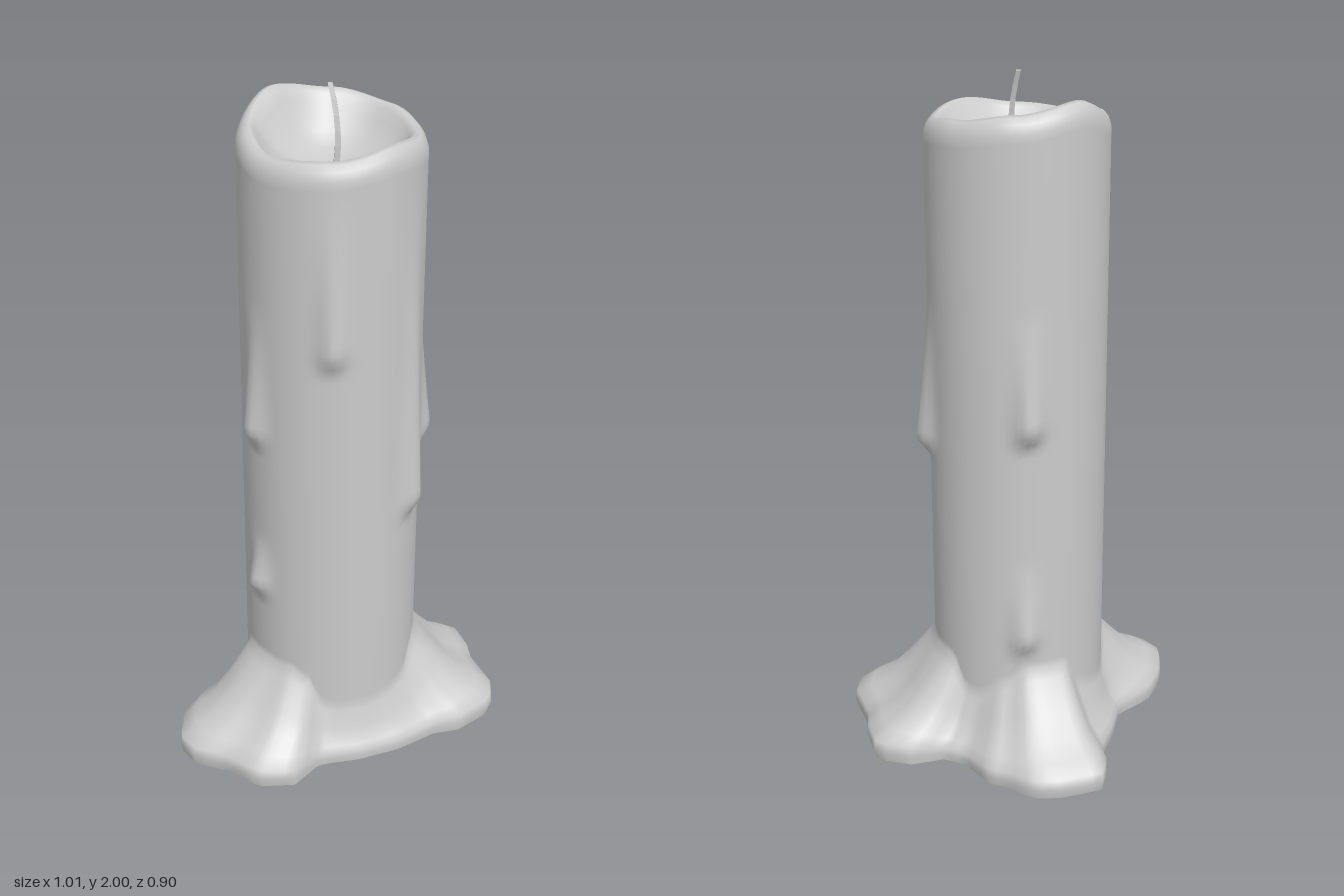
import * as THREE from 'three';

const SEG = 96, CX = 0.005, CZ = 0.035, R = 0.255;
const TAU = Math.PI * 2;
const angleOf = (x, z) => (Math.atan2(z - CZ, x - CX) + TAU) % TAU;

// Outline of the melted wax pool on the ground (x, z)
const POOL = [
  [0.13, -0.455], [0.25, -0.395], [0.31, -0.34], [0.325, -0.25], [0.35, -0.195], [0.335, -0.08],
  [0.365, -0.01], [0.45, 0.03], [0.51, 0.125], [0.46, 0.225], [0.42, 0.27], [0.365, 0.4],
  [0.3, 0.45], [0.17, 0.435], [0.1, 0.39], [-0.03, 0.36], [-0.15, 0.305], [-0.23, 0.25],
  [-0.27, 0.235], [-0.36, 0.255], [-0.45, 0.175], [-0.465, 0.06], [-0.51, -0.03], [-0.5, -0.11],
  [-0.41, -0.19], [-0.32, -0.225], [-0.19, -0.215], [-0.1, -0.275], [0.03, -0.345], [0.04, -0.38],
];

// Distance from the candle axis to the pool outline along a ray
function poolRadius(a) {
  const dx = Math.cos(a), dz = Math.sin(a);
  let best = R;
  POOL.forEach(([x, z], i) => {
    const [x2, z2] = POOL[(i + 1) % POOL.length];
    const px = x - CX, pz = z - CZ, ex = x2 - x, ez = z2 - z;
    const den = dx * ez - dz * ex;
    if (Math.abs(den) < 1e-9) return;
    const t = (px * ez - pz * ex) / den, s = (px * dz - pz * dx) / den;
    if (t > 0 && s >= -1e-6 && s <= 1 + 1e-6) best = Math.max(best, t);
  });
  return best;
}

// Uneven rim height, every 45 degrees from +x towards +z
const RIM = [1.9, 1.875, 1.892, 1.868, 1.86, 1.895, 1.95, 1.925];
function rimHeight(a) {
  const f = (a / TAU) * 8, i = Math.floor(f), t = f - i;
  return THREE.MathUtils.lerp(RIM[i % 8], RIM[(i + 1) % 8], t * t * (3 - 2 * t));
}

// Wax drips: x, z, start height, tip height, bulge
const DRIPS = [
  [-0.28, -0.02, 1.45, 1.0, 0.036], [-0.28, -0.01, 0.72, 0.5, 0.036],
  [0.08, 0.32, 1.75, 0.77, 0.038], [0.255, 0.19, 1.4, 0.9, 0.045],
  [0.18, -0.2, 1.4, 1.0, 0.04], [0.19, -0.19, 0.65, 0.34, 0.035],
  [-0.18, 0.22, 1.8, 1.28, 0.03],
].map(([x, z, top, tip, amp]) => ({ a: angleOf(x, z), top, tip, amp }));

function dripBulge(a, y) {
  let sum = 0;
  for (const d of DRIPS) {
    if (y > d.top || y < d.tip) continue;
    const da = Math.atan2(Math.sin(a - d.a), Math.cos(a - d.a));
    const peak = d.tip + 0.06;
    const v = y > peak ? ((d.top - y) / (d.top - peak)) ** 1.3 : (y - d.tip) / 0.06;
    sum += d.amp * v * Math.exp(-((da / 0.14) ** 2));
  }
  return sum;
}

// Surface through closed rings; each ring is a function angle -> [radius, y]
function loft(rings, name, material) {
  const pos = [], idx = [];
  for (const ring of rings) {
    for (let j = 0; j < SEG; j++) {
      const a = (j / SEG) * TAU, [r, y] = ring(a);
      pos.push(CX + r * Math.cos(a), y, CZ + r * Math.sin(a));
    }
  }
  for (let i = 0; i < rings.length - 1; i++) {
    for (let j = 0; j < SEG; j++) {
      const k = (j + 1) % SEG, a = i * SEG + j, b = i * SEG + k;
      idx.push(a, a + SEG, b, b, a + SEG, b + SEG);
    }
  }
  const g = new THREE.BufferGeometry();
  g.setAttribute('position', new THREE.Float32BufferAttribute(pos, 3));
  g.setIndex(idx);
  g.computeVertexNormals();
  const mesh = new THREE.Mesh(g, material);
  mesh.name = name;
  return mesh;
}

export function createModel() {
  const group = new THREE.Group();
  group.name = 'meltedCandle';
  const wax = new THREE.MeshStandardMaterial({ color: 0xcccccc });
  const flareHeight = (a) => 0.13 + 0.17 * Math.min(1, (poolRadius(a) - R) / 0.22);

  // Spreading foot: share of the flare height, share of the spread
  const foot = [[0, 0.97], [0.1, 1], [0.2, 0.98], [0.3, 0.8], [0.42, 0.55],
    [0.6, 0.35], [0.75, 0.2], [0.88, 0.08]];
  const rings = foot.map(([u, f]) => (a) =>
    [R + (poolRadius(a) - R) * f, 0.005 + u * flareHeight(a)]);

  // Column with drips
  const ROWS = 70;
  for (let i = 0; i <= ROWS; i++) {
    rings.push((a) => {
      const y = THREE.MathUtils.lerp(flareHeight(a), rimHeight(a) - 0.045, i / ROWS);
      return [R + dripBulge(a, y), y];
    });
  }

  // Rounded rim, then the hollow: radius, drop below the rim
  for (const [r, drop] of [[0.247, 0.02], [0.233, 0.004], [0.218, 0], [0.203, 0.012], [0.185, 0.04]]) {
    rings.push((a) => [r, rimHeight(a) - drop]);
  }
  for (const [r, y, w] of [[0.15, 1.815, 0.3], [0.1, 1.79, 0.1], [0.05, 1.778, 0], [0.0005, 1.775, 0]]) {
    rings.push((a) => [r, y + (rimHeight(a) - 1.89) * w]);
  }
  group.add(loft(rings, 'waxBody', wax));

  // Flat underside
  group.add(loft([
    () => [0.0005, 0],
    (a) => [poolRadius(a) * 0.95, 0],
    (a) => [R + (poolRadius(a) - R) * 0.97, 0.005],
  ], 'underside', wax));

  // Four-sided wick, leaning back towards its tip
  const wickGeo = new THREE.CylinderGeometry(0.009, 0.012, 0.24, 4, 6).toNonIndexed();
  const p = wickGeo.attributes.position;
  for (let i = 0; i < p.count; i++) {
    const t = p.getY(i) / 0.24 + 0.5;
    p.setX(i, p.getX(i) + 0.006 * t);
    p.setZ(i, p.getZ(i) + 0.012 * Math.sin(Math.PI * t) - 0.025 * t * t);
  }
  wickGeo.computeVertexNormals();
  const wick = new THREE.Mesh(wickGeo, new THREE.MeshStandardMaterial({ color: 0xcccccc, flatShading: true }));
  wick.name = 'wick';
  wick.position.set(0.002, 1.88, 0.05);
  group.add(wick);

  return group;
}
